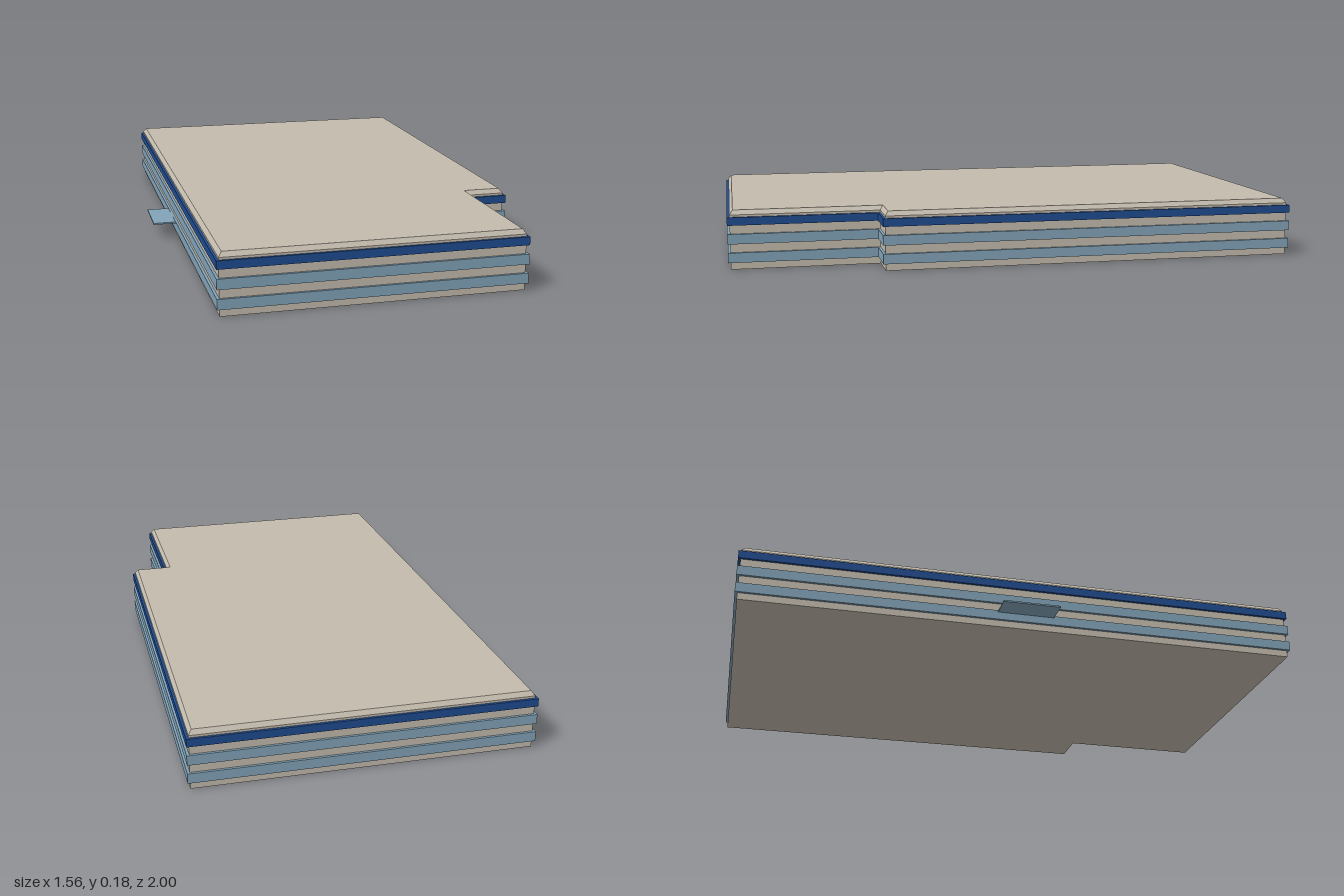
import * as THREE from 'three';

// Outer footprint corners as [x, z], including the projecting bands
const OUTLINE = [
  [-0.217, -1], [0.781, -0.664], [0.352, 0.596],
  [0.237, 0.558], [0.091, 0.997], [-0.781, 0.709],
].map(([x, z]) => new THREE.Vector2(x, -z));

// Move every edge of the footprint inwards by d, with mitred corners
function inset(points, d) {
  const n = points.length;
  return points.map((p, i) => {
    const a = p.clone().sub(points[(i + n - 1) % n]).normalize();
    const b = points[(i + 1) % n].clone().sub(p).normalize();
    const na = new THREE.Vector2(a.y, -a.x);
    const nb = new THREE.Vector2(b.y, -b.x);
    const m = na.add(nb);
    return p.clone().addScaledVector(m, 2 * d / m.lengthSq());
  });
}

// Upright prism between two heights; the top may be a narrower outline
function prism(bottom, y0, y1, top = bottom) {
  const geo = new THREE.ExtrudeGeometry(new THREE.Shape(bottom), { depth: y1 - y0, bevelEnabled: false });
  const pos = geo.attributes.position;
  const v = new THREE.Vector2();
  for (let i = 0; i < pos.count; i++) {
    if (pos.getZ(i) < (y1 - y0) / 2) continue;
    v.set(pos.getX(i), pos.getY(i));
    const k = bottom.findIndex((p) => p.distanceTo(v) < 1e-4);
    if (k >= 0) pos.setXY(i, top[k].x, top[k].y);
  }
  geo.rotateX(-Math.PI / 2);
  geo.translate(0, y0, 0);
  geo.computeVertexNormals();
  return geo;
}

export function createModel() {
  const group = new THREE.Group();
  const material = (name, color) => Object.assign(new THREE.MeshStandardMaterial({ color }), { name });
  const stone = material('beige stone', 0xc3bbad);
  const glass = material('pale blue glass', 0x82a3b8);
  const blue = material('deep blue trim', 0x1f4b8f);

  const add = (name, geo, mat) => {
    const mesh = new THREE.Mesh(geo, mat);
    mesh.name = name;
    group.add(mesh);
  };

  // Main block and the roof edge that slopes inwards
  const wall = inset(OUTLINE, 0.008);
  add('walls', prism(wall, 0, 0.17), stone);
  add('roof', prism(wall, 0.17, 0.184, inset(OUTLINE, 0.018)), stone);

  // Projecting bands around the building
  add('lowerWindowBand', prism(OUTLINE, 0.022, 0.053), glass);
  add('upperWindowBand', prism(OUTLINE, 0.08, 0.111), glass);
  add('trimBand', prism(OUTLINE, 0.138, 0.163), blue);

  // Small entrance canopy on the long side
  const canopy = [[-0.54, -0.253], [-0.462, -0.228], [-0.518, -0.055], [-0.598, -0.08]]
    .map(([x, z]) => new THREE.Vector2(x, -z));
  add('entranceCanopy', prism(canopy, 0.047, 0.052), glass);

  return group;
}
